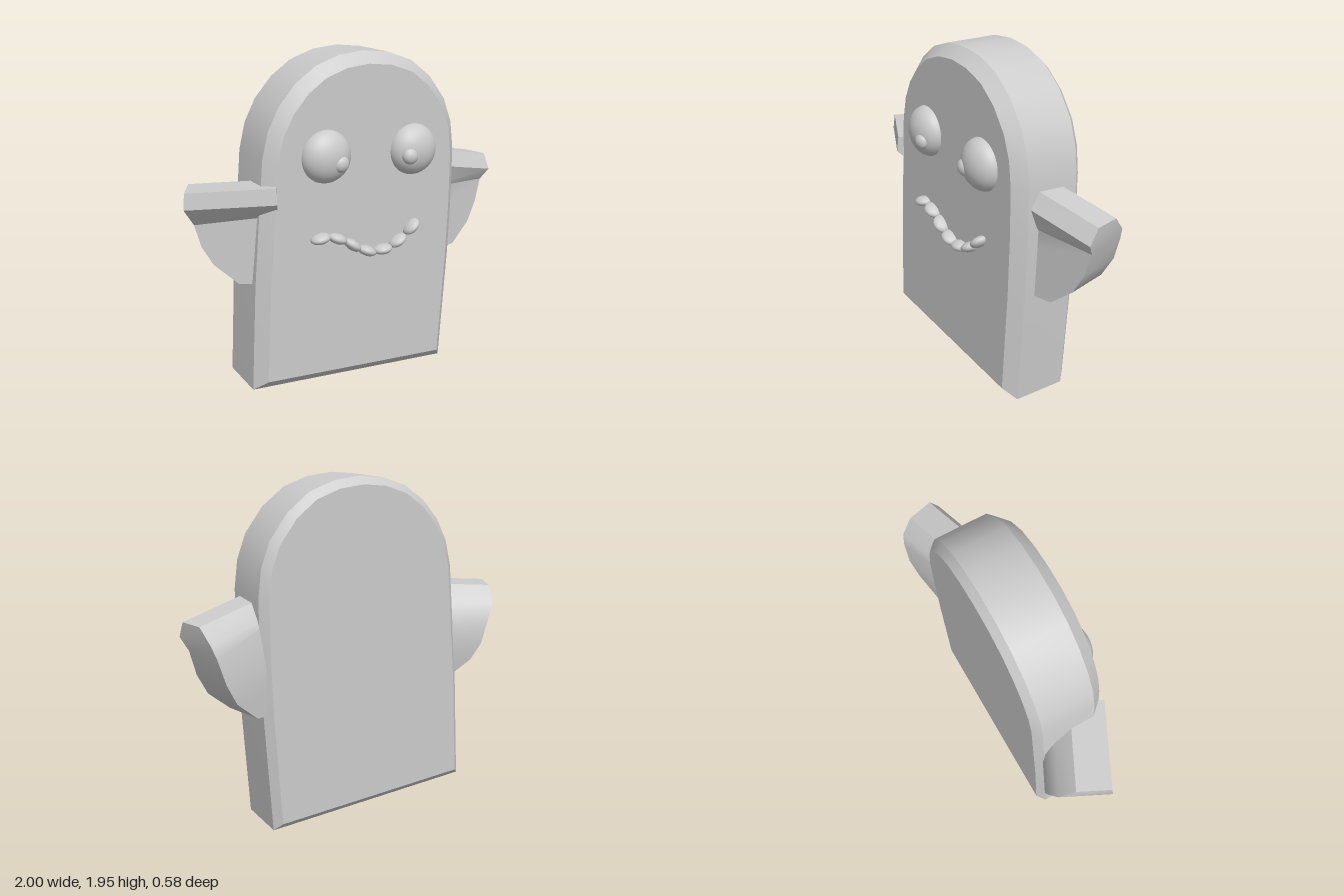
import * as THREE from 'three';
import { toCreasedNormals } from 'three/addons/utils/BufferGeometryUtils.js';

const material = new THREE.MeshStandardMaterial({ color: 0xcccccc });

function add(parent, name, geometry) {
  const mesh = new THREE.Mesh(geometry, material);
  mesh.name = name;
  parent.add(mesh);
  return mesh;
}

// Skin a stack of convex rings, each counter-clockwise seen from the first ring's side
function loft(rings, crease) {
  const n = rings[0].length;
  const index = [];
  for (let r = 0; r < rings.length - 1; r++) {
    for (let i = 0; i < n; i++) {
      const a = r * n + i, b = r * n + (i + 1) % n, c = a + n, d = b + n;
      index.push(c, d, b, c, b, a);
    }
  }
  const last = (rings.length - 1) * n;
  for (let i = 1; i < n - 1; i++) {
    index.push(0, i, i + 1, last, last + i + 1, last + i);
  }
  const geometry = new THREE.BufferGeometry();
  geometry.setAttribute('position', new THREE.Float32BufferAttribute(rings.flat(2), 3));
  geometry.setIndex(index);
  return toCreasedNormals(geometry, crease);
}

// Move every edge of a convex counter-clockwise outline inwards by d
function inset(points, d) {
  const n = points.length;
  const normal = (p, q) => {
    const l = Math.hypot(q[0] - p[0], q[1] - p[1]);
    return [-(q[1] - p[1]) / l, (q[0] - p[0]) / l];
  };
  return points.map((p, i) => {
    const u = normal(points[(i + n - 1) % n], p), v = normal(p, points[(i + 1) % n]);
    const k = d / (1 + u[0] * v[0] + u[1] * v[1]);
    return [p[0] + (u[0] + v[0]) * k, p[1] + (u[1] + v[1]) * k];
  });
}

// Hooked arm. Levels run downwards: [inner y, outer y, outer x, front depth, back depth]
function armGeometry(side, z0, yaw, levels) {
  const innerX = 0.56;
  const rings = levels.map(([yIn, yOut, xOut, front, back]) => {
    const corner = (x, y, d) => [
      side * (x - d * Math.sin(yaw)), y,
      z0 - (x - 0.7) * Math.tan(yaw) - d * Math.cos(yaw),
    ];
    const ring = [
      corner(innerX, yIn, front), corner(xOut, yOut, front),
      corner(xOut, yOut, back), corner(innerX, yIn, back),
    ];
    return side > 0 ? ring : ring.reverse();
  });
  return loft(rings, 0.5);
}

export function createModel() {
  const model = new THREE.Group();
  model.name = 'ghost';

  // Slab body with an arched top and bevelled rims
  const outline = [
    [-0.69, 0.085], [0.58, 0.005], [0.625, 0.7], [0.637, 1.05], [0.637, 1.34], [0.617, 1.5],
    [0.565, 1.64], [0.46, 1.78], [0.33, 1.88], [0.18, 1.933], [0.024, 1.95], [-0.126, 1.935],
    [-0.27, 1.885], [-0.39, 1.8], [-0.49, 1.685], [-0.555, 1.56], [-0.592, 1.41], [-0.655, 0.7],
  ];
  const bodyRings = [[0.182, 0.064], [0.114, 0], [-0.197, 0], [-0.24, 0.043]]
    .map(([z, d]) => inset(outline, d).map(([x, y]) => [x, y, z]));
  add(model, 'body', loft(bodyRings, 0.45));

  // Arms: forward lip on top, set-back rounded fin below
  add(model, 'leftArm', armGeometry(1, 0.03, 0.245, [
    [1.33, 1.23, 1.0, 0, 0.15],
    [1.235, 1.14, 0.99, -0.05, 0.23],
    [1.1, 1.07, 0.97, 0, 0.25],
    [0.97, 0.93, 0.93, 0, 0.265],
    [0.84, 0.81, 0.865, 0, 0.26],
    [0.69, 0.695, 0.73, 0, 0.25],
  ]));
  add(model, 'rightArm', armGeometry(-1, 0.15, 0.455, [
    [1.275, 1.255, 0.995, 0.01, 0.2],
    [1.185, 1.165, 1.0, 0, 0.29],
    [1.1, 1.055, 0.965, 0.09, 0.34],
    [0.96, 0.93, 0.935, 0.09, 0.35],
    [0.84, 0.825, 0.88, 0.09, 0.34],
    [0.7, 0.71, 0.76, 0.09, 0.32],
  ]));

  // Flattened eyes with small pupils
  const ball = new THREE.SphereGeometry(1, 32, 20);
  const eyes = [
    ['rightEye', -0.247, 1.405, -0.195, 1.373],
    ['leftEye', 0.31, 1.385, 0.25, 1.364],
  ];
  for (const [name, x, y, px, py] of eyes) {
    const eye = add(model, name, ball);
    eye.position.set(x, y, 0.175);
    eye.scale.set(0.148, 0.148, 0.105);
    const pupil = add(model, name + 'Pupil', ball);
    pupil.position.set(px, py, 0.252);
    pupil.scale.set(0.048, 0.048, 0.038);
  }

  // Smile made of overlapping beads: x, y, tilt in degrees
  const smile = new THREE.Group();
  smile.name = 'smile';
  model.add(smile);
  const bead = new THREE.SphereGeometry(1, 16, 10).rotateZ(Math.PI / 2);
  const beads = [
    [-0.292, 0.948, 10], [-0.185, 0.93, -22], [-0.09, 0.877, -38], [0.005, 0.827, -22],
    [0.11, 0.82, 5], [0.21, 0.855, 28], [0.303, 0.925, 42],
  ];
  for (const [x, y, tilt] of beads) {
    const mesh = add(smile, 'smileBead', bead);
    mesh.position.set(x, y, 0.193);
    mesh.scale.set(0.058, 0.03, 0.055);
    mesh.rotation.z = THREE.MathUtils.degToRad(tilt);
  }

  return model;
}
